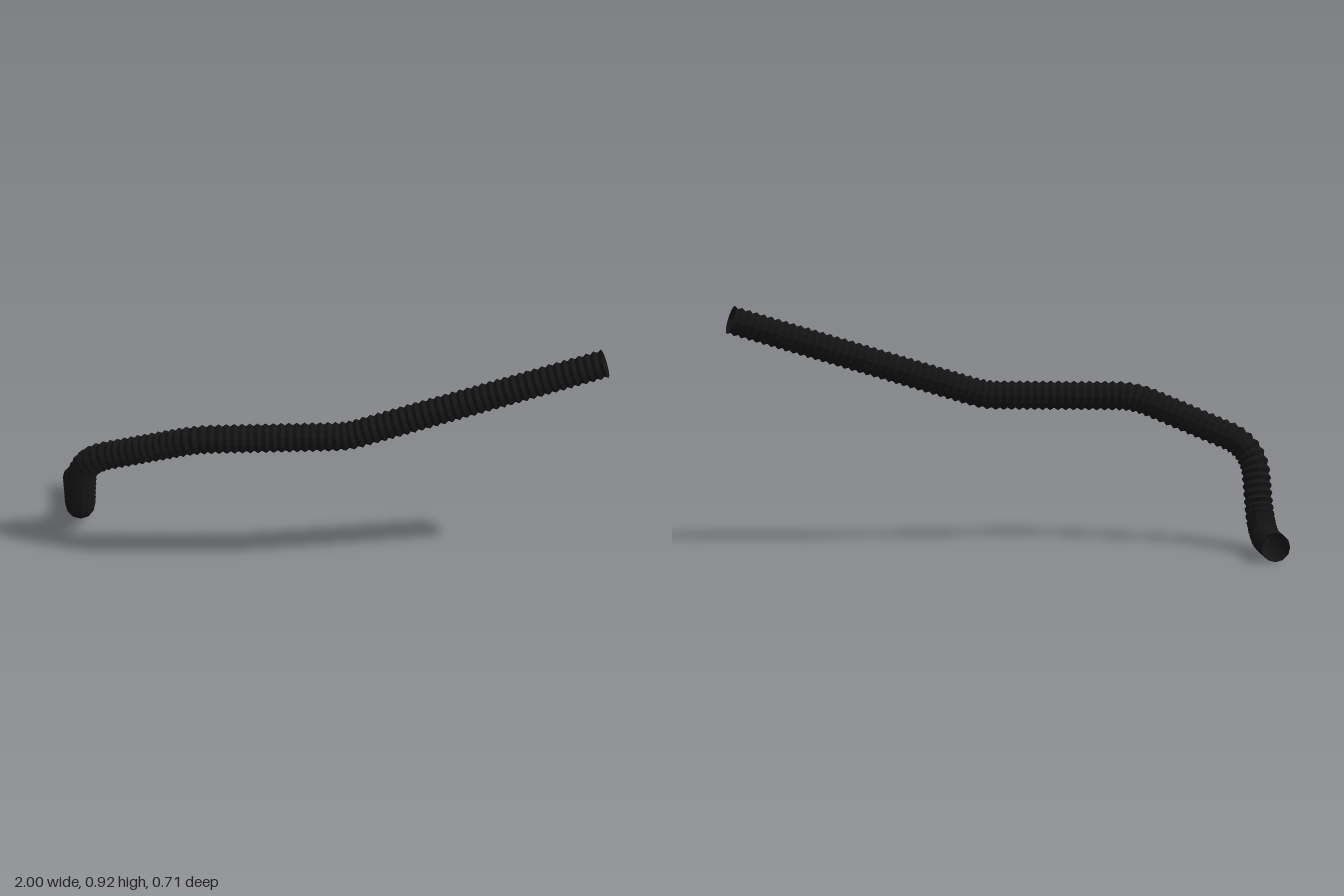
import * as THREE from 'three';

// Centreline made of straight runs joined by rounded corners
function roundedPath(corners, trims) {
  const path = new THREE.CurvePath();
  let from = corners[0];
  for (let i = 1; i < corners.length - 1; i++) {
    const toward = (p) => p.clone().sub(corners[i]).setLength(trims[i - 1]).add(corners[i]);
    const a = toward(corners[i - 1]);
    const b = toward(corners[i + 1]);
    path.add(new THREE.LineCurve3(from, a));
    path.add(new THREE.QuadraticBezierCurve3(a, corners[i], b));
    from = b;
  }
  path.add(new THREE.LineCurve3(from, corners[corners.length - 1]));
  path.arcLengthDivisions = 800;
  return path;
}

export function createModel() {
  const group = new THREE.Group();
  group.name = 'corrugatedHose';

  const corners = [
    [-0.945, 0.056, -0.357],
    [-0.945, 0.056, -0.085],
    [-0.945, 0.365, 0.06],
    [-0.53, 0.54, 0.235],
    [0.03, 0.557, 0.265],
    [0.982, 0.865, 0.303],
  ].map((p) => new THREE.Vector3(...p));
  const path = roundedPath(corners, [0.13, 0.11, 0.07, 0.05]);

  // Every second ring is a groove, drawn in toward the centreline
  const sides = 12, crest = 0.055, groove = 0.046, pitch = 0.029;
  const rings = 2 * Math.round(path.getLength() / pitch);
  const geometry = new THREE.TubeGeometry(path, rings, crest, sides);
  const pos = geometry.attributes.position;
  const v = new THREE.Vector3();
  for (let i = 1; i < rings; i += 2) {
    const centre = path.getPointAt(i / rings);
    for (let j = 0; j <= sides; j++) {
      const k = i * (sides + 1) + j;
      v.fromBufferAttribute(pos, k).sub(centre).multiplyScalar(groove / crest).add(centre);
      pos.setXYZ(k, v.x, v.y, v.z);
    }
  }
  geometry.computeVertexNormals();

  // Open-ended hose
  const hose = new THREE.Mesh(geometry, new THREE.MeshStandardMaterial({
    color: 0x141414, flatShading: true, side: THREE.DoubleSide,
  }));
  hose.name = 'hose';
  group.add(hose);
  return group;
}
